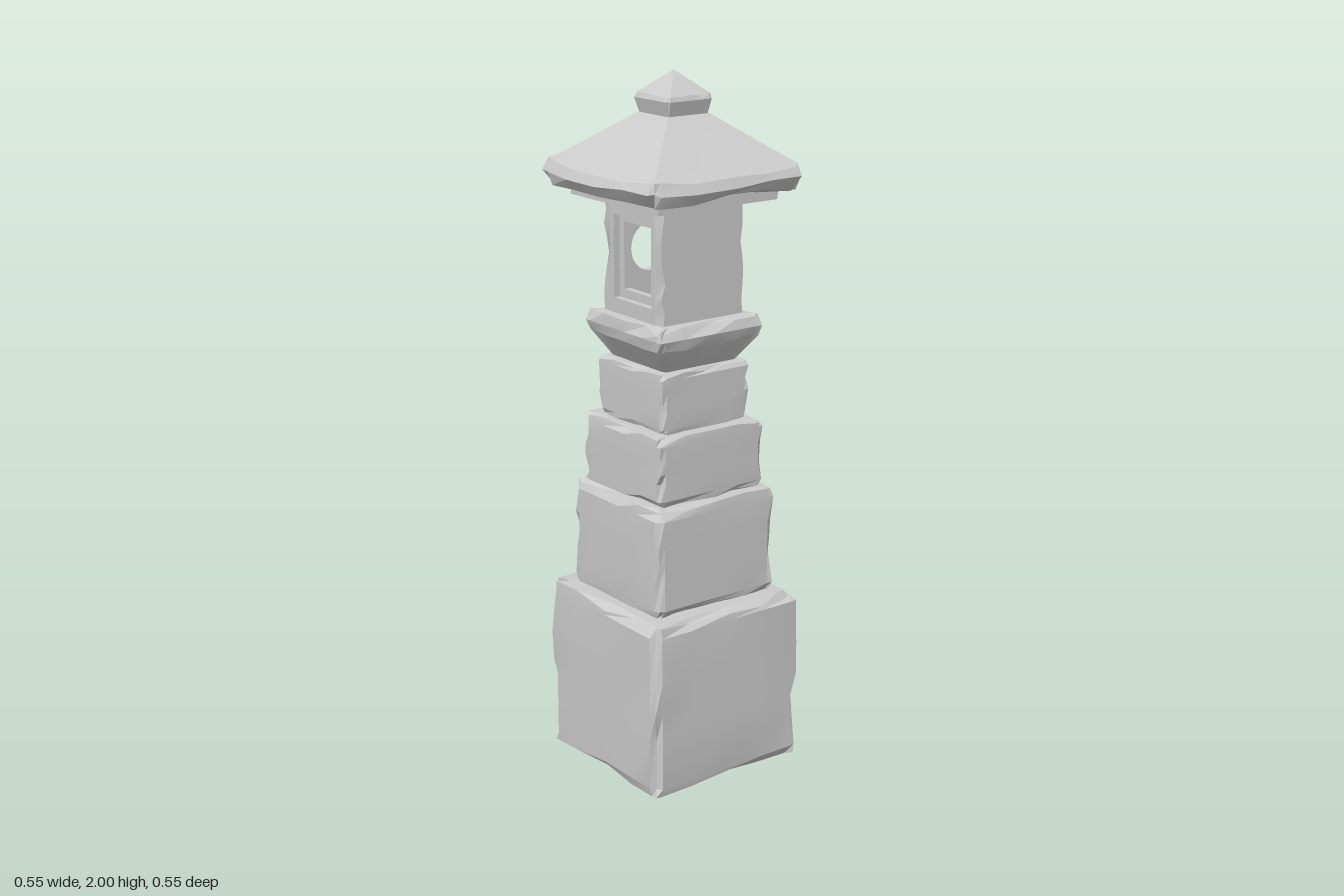
import * as THREE from 'three';
import { toCreasedNormals } from 'three/addons/utils/BufferGeometryUtils.js';

const stoneMaterial = new THREE.MeshStandardMaterial({ color: 0xcccccc, side: THREE.DoubleSide });

// Small seeded generator for the worn edges
function seeded(seed) {
  let s = seed * 7919 + 17;
  return () => {
    s = (s * 16807) % 2147483647;
    return s / 2147483647;
  };
}

// Lofts square rings from bottom to top.
// Level: y, half (half width), chip (rim wear), corner (corner wear), bulge and sag (middle of each side)
function loftSquare(levels, seed, { bottom = true, margin = 0.1 } = {}) {
  const rnd = seeded(seed);
  for (let i = 0; i < 5; i++) rnd();
  const steps = [-1, -1 + margin, -0.5, 0.05, 0.5, 1 - margin];
  const n = steps.length * 4;
  const pos = [], index = [];
  const middle = (levels[0].y + levels[levels.length - 1].y) / 2;
  for (const { y, half, chip = 0, corner = 0, bulge = 0, sag = 0 } of levels) {
    for (let k = 0; k < 4; k++) {
      const cos = Math.round(Math.cos(k * Math.PI / 2)), sin = Math.round(Math.sin(k * Math.PI / 2));
      for (const t of steps) {
        const arch = 1 - t * t;
        const wear = rnd() ** 2 * chip, drop = rnd() ** 2 * chip;
        let u = t * half, v = half + bulge * arch - wear;
        if (t === -1) {
          const cut = wear + rnd() ** 2 * corner;
          u += cut;
          v = half - cut;
        }
        pos.push(u * cos + v * sin, y - sag * arch + (y > middle ? -drop : drop), -u * sin + v * cos);
      }
    }
  }
  for (let i = 0; i < levels.length - 1; i++) {
    for (let j = 0; j < n; j++) {
      const a = i * n + j, b = i * n + (j + 1) % n;
      index.push(a, b, b + n, a, b + n, a + n);
    }
  }
  // End caps
  const last = levels.length - 1, centre = pos.length / 3;
  pos.push(0, levels[0].y, 0, 0, levels[last].y, 0);
  for (let j = 0; j < n; j++) {
    const next = (j + 1) % n;
    if (bottom) index.push(centre, next, j);
    index.push(centre + 1, last * n + j, last * n + next);
  }
  const geo = new THREE.BufferGeometry();
  geo.setAttribute('position', new THREE.Float32BufferAttribute(pos, 3));
  geo.setIndex(index);
  return toCreasedNormals(geo, 0.3);
}

// Levels of a straight block with worn edges
function blockLevels(y0, y1, half, chip, open = false) {
  const h = y1 - y0, m = chip * 1.3;
  const levels = open ? [] : [{ y: y0, half: half - m }];
  levels.push({ y: y0, half, chip, corner: chip });
  for (const y of [y0 + m, y0 + h * 0.35, y0 + h * 0.5, y0 + h * 0.68, y1 - m]) {
    levels.push({ y, half, corner: chip });
  }
  levels.push({ y: y1, half, chip, corner: chip }, { y: y1, half: half - m });
  return levels;
}

function rectangle(PathType, x0, x1, y0, y1) {
  return new PathType([[x0, y0], [x1, y0], [x1, y1], [x0, y1]].map(p => new THREE.Vector2(...p)));
}

function extrude(shape, depth) {
  return new THREE.ExtrudeGeometry(shape, { depth, bevelEnabled: false, curveSegments: 24 });
}

// Full-width wall whose outer upright edges are worn; outer face lies at +z
function wornWall(half, y0, y1, depth, seed, hole) {
  const rnd = seeded(seed), rows = 8, pts = [];
  for (let i = 0; i <= rows; i++) pts.push(new THREE.Vector2(half, y0 + (y1 - y0) * i / rows));
  for (let i = rows; i >= 0; i--) pts.push(new THREE.Vector2(-half, y0 + (y1 - y0) * i / rows));
  const shape = new THREE.Shape(pts);
  if (hole) shape.holes.push(hole);
  const geo = extrude(shape, depth);
  const p = geo.attributes.position;
  const wear = Array.from({ length: 2 * rows + 2 }, () => rnd() ** 2 * 0.018);
  for (let i = 0; i < p.count; i++) {
    const x = p.getX(i);
    if (Math.abs(x) < half - 1e-4 || p.getZ(i) < depth / 2) continue;
    const row = Math.round((p.getY(i) - y0) / (y1 - y0) * rows);
    p.setX(i, x - Math.sign(x) * wear[row + (x > 0 ? rows + 1 : 0)]);
  }
  return toCreasedNormals(geo, 0.5);
}

export function createModel() {
  const model = new THREE.Group();
  model.name = 'stoneLantern';
  const add = (name, geo, parent = model) => {
    const mesh = new THREE.Mesh(geo, stoneMaterial);
    mesh.name = name;
    parent.add(mesh);
    return mesh;
  };

  // Stacked pedestal, open underneath
  add('baseBlock', loftSquare(blockLevels(0, 0.515, 0.256, 0.022, true), 3, { bottom: false }));
  add('lowerBlock', loftSquare(blockLevels(0.51, 0.83, 0.203, 0.022), 8));
  add('middleBlock', loftSquare(blockLevels(0.83, 1.03, 0.181, 0.016), 12));
  add('upperBlock', loftSquare(blockLevels(1.03, 1.2, 0.15, 0.012), 21));

  // Flared collar carrying the fire box
  add('collar', loftSquare([
    { y: 1.2, half: 0.11 },
    { y: 1.2, half: 0.122, corner: 0.006 },
    { y: 1.275, half: 0.172, chip: 0.012, corner: 0.015 },
    { y: 1.3, half: 0.176, corner: 0.015 },
    { y: 1.333, half: 0.174, chip: 0.025, corner: 0.015 },
    { y: 1.333, half: 0.145 },
  ], 31));

  // Hollow fire box: plain front, round opening behind, framed windows at the sides
  const fireBox = new THREE.Group();
  fireBox.name = 'fireBox';
  model.add(fireBox);
  const y0 = 1.325, y1 = 1.66, halfX = 0.141, halfZ = 0.133, wall = 0.03;
  add('frontWall', wornWall(halfX, y0, y1, wall, 41), fireBox).position.z = halfZ - wall;
  const round = new THREE.Path().absarc(0, 1.5, 0.07, 0, Math.PI * 2, true);
  const back = add('backWall', wornWall(halfX, y0, y1, wall, 52, round), fireBox);
  back.rotation.y = Math.PI;
  back.position.z = -(halfZ - wall);
  for (const side of [1, -1]) {
    const name = side > 0 ? 'left' : 'right';
    const place = (mesh, inner) => {
      mesh.rotation.y = side * Math.PI / 2;
      mesh.position.x = side * inner;
    };
    const outer = rectangle(THREE.Shape, -halfZ + wall, halfZ - wall, y0, y1);
    outer.holes.push(rectangle(THREE.Path, -0.087, 0.087, 1.375, 1.61));
    place(add(name + 'Wall', extrude(outer, 0.02), fireBox), halfX - 0.02);
    const frame = rectangle(THREE.Shape, -0.1, 0.1, 1.36, 1.63);
    frame.holes.push(rectangle(THREE.Path, -0.065, 0.065, 1.4, 1.59));
    place(add(name + 'WindowFrame', extrude(frame, 0.02), fireBox), halfX - 0.04);
  }

  // Plate under the roof
  const plate = add('roofPlate', new THREE.BoxGeometry(0.405, 0.03, 0.405));
  plate.position.y = 1.67;

  // Hipped roof with worn, slightly upturned eaves
  add('roof', loftSquare([
    { y: 1.682, half: 0.19 },
    { y: 1.675, half: 0.248, chip: 0.02, corner: 0.01, bulge: 0.008, sag: -0.008 },
    { y: 1.715, half: 0.262, chip: 0.012, corner: 0.012, bulge: 0.014, sag: 0.005 },
    { y: 1.75, half: 0.252, chip: 0.012, corner: 0.012, bulge: 0.014, sag: 0.015 },
    { y: 1.775, half: 0.212, bulge: 0.004, sag: 0.004 },
    { y: 1.885, half: 0.07 },
  ], 63));

  // Finial: flared neck and pyramid tip
  add('finial', loftSquare([
    { y: 1.875, half: 0.064 },
    { y: 1.925, half: 0.077, corner: 0.006 },
    { y: 1.94, half: 0.073, chip: 0.004, corner: 0.004 },
    { y: 2.0, half: 0.001 },
  ], 77));

  return model;
}
